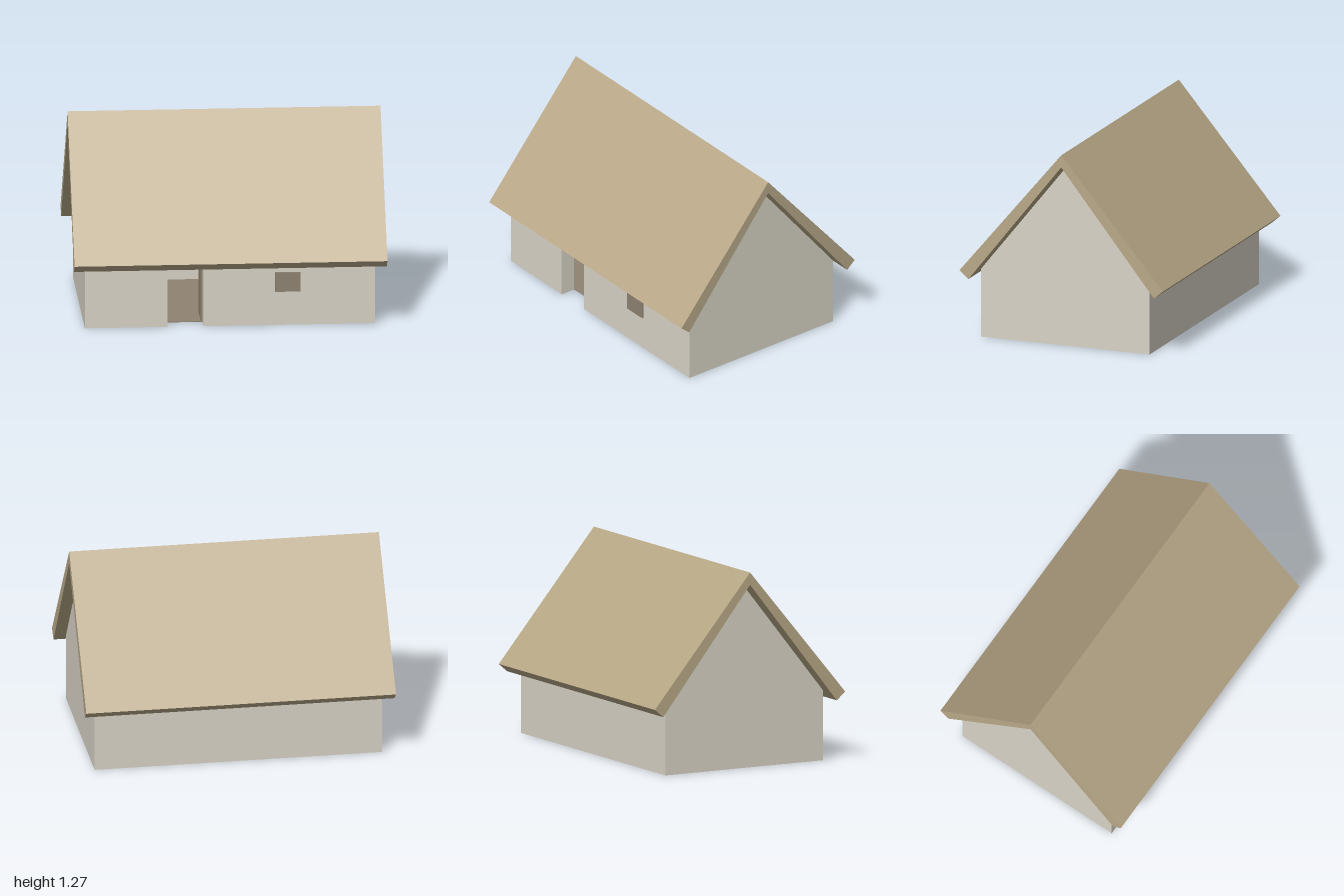
import * as THREE from 'three';

const material = (name, color) => {
  const m = new THREE.MeshStandardMaterial({ color });
  m.name = name;
  return m;
};

export function createModel() {
  const house = new THREE.Group();
  house.name = 'cottage';
  const plaster = material('plaster', 0xd8d3c6);
  const thatch = material('thatch', 0xb8a887);
  const wood = material('wood', 0x8f8371);

  const add = (name, geometry, mat) => {
    const mesh = new THREE.Mesh(geometry, mat);
    mesh.name = name;
    house.add(mesh);
    return mesh;
  };
  // box given by its limits on each axis
  const box = (name, [x0, x1], [y0, y1], [z0, z1], mat) =>
    add(name, new THREE.BoxGeometry(x1 - x0, y1 - y0, z1 - z0)
      .translate((x0 + x1) / 2, (y0 + y1) / 2, (z0 + z1) / 2), mat);
  const extrude = (points, depth) => new THREE.ExtrudeGeometry(
    new THREE.Shape(points.map(([x, y]) => new THREE.Vector2(x, y))),
    { depth, bevelEnabled: false });

  const W = 0.927, D = 0.58, T = 0.1, EAVE = 0.45;

  // gable end walls
  const gable = [[-D, 0], [D, 0], [D, EAVE], [0, 1.172], [-D, EAVE]];
  for (const [name, x] of [['rightGable', -W], ['leftGable', W - T]])
    add(name, extrude(gable, T).rotateY(Math.PI / 2).translate(x, 0, 0), plaster);

  // long walls, the front one with a doorway
  const inner = W - T, doorL = -0.4, doorR = -0.168, doorTop = 0.42;
  box('backWall', [-inner, inner], [0, EAVE], [-D, -D + T], plaster);
  add('frontWall', extrude([
    [-inner, 0], [doorL, 0], [doorL, doorTop], [doorR, doorTop],
    [doorR, 0], [inner, 0], [inner, EAVE], [-inner, EAVE],
  ], T).translate(0, 0, D - T), plaster);

  // floor, open door, lintel and window
  box('floor', [-inner, inner], [0, 0.005], [-D + T, D - T], wood);
  box('openDoor', [doorR - 0.012, doorR], [0.005, 0.41], [D - T - 0.22, D - T], wood);
  box('lintel', [doorL, doorR], [doorTop, EAVE], [D, D + 0.005], wood);
  box('window', [0.29, 0.45], [0.222, 0.35], [D, D + 0.0095], wood);

  // pitched roof overhanging every side
  add('roof', extrude([
    [0, 1.275], [-0.7, 0.445], [-0.638, 0.393], [0, 1.195], [0.638, 0.393], [0.7, 0.445],
  ], 2).rotateY(Math.PI / 2).translate(-1, 0, 0), thatch);

  return house;
}
